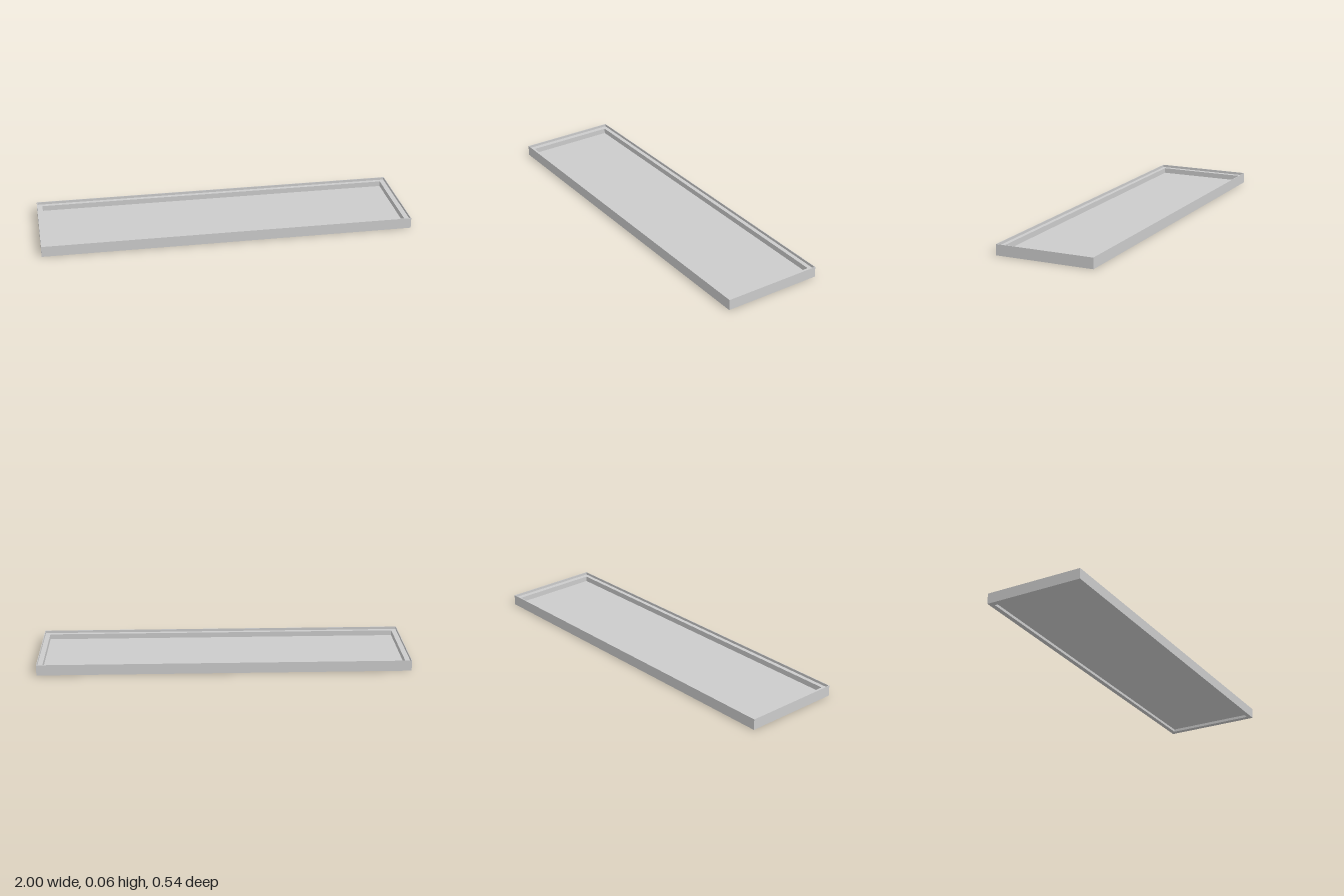
import * as THREE from 'three';

const W = 2, D = 0.54, H = 0.058;      // outer size
const INSET_X = 0.03, INSET_Z = 0.025; // width of the ledge
const LEDGE = 0.044, FLOOR = 0.015;    // heights of ledge and floor

export function createModel() {
  const group = new THREE.Group();
  const material = new THREE.MeshStandardMaterial({
    color: 0xcccccc, flatShading: true, side: THREE.DoubleSide,
  });
  const add = (name, geometry, x, y, z) => {
    const mesh = new THREE.Mesh(geometry, material);
    mesh.name = name;
    mesh.position.set(x, y, z);
    group.add(mesh);
  };
  const innerW = W - 2 * INSET_X, innerD = D - 2 * INSET_Z;

  // Ledge ring with a rectangular opening, from the ground up to the ledge
  const ring = new THREE.Shape([
    [-W / 2, -D / 2], [W / 2, -D / 2], [W / 2, D / 2], [-W / 2, D / 2],
  ].map(([x, y]) => new THREE.Vector2(x, y)));
  ring.holes.push(new THREE.Path([
    [-innerW / 2, -innerD / 2], [-innerW / 2, innerD / 2],
    [innerW / 2, innerD / 2], [innerW / 2, -innerD / 2],
  ].map(([x, y]) => new THREE.Vector2(x, y))));
  const ringGeometry = new THREE.ExtrudeGeometry(ring, { depth: LEDGE, bevelEnabled: false });
  ringGeometry.rotateX(-Math.PI / 2);
  add('ledgeFrame', ringGeometry, 0, 0, 0);

  // Thin rim walls standing on the outer edge of the ledge
  const rimH = H - LEDGE, rimY = LEDGE + rimH / 2, t = 0.003;
  for (const s of [1, -1]) {
    add(s > 0 ? 'frontRim' : 'backRim',
      new THREE.BoxGeometry(W, rimH, t), 0, rimY, s * (D - t) / 2);
    add(s > 0 ? 'leftRim' : 'rightRim',
      new THREE.BoxGeometry(t, rimH, D - 2 * t), s * (W - t) / 2, rimY, 0);
  }

  // Thin floor panel, raised above the ground so the underside is recessed
  const floor = new THREE.PlaneGeometry(innerW, innerD);
  floor.rotateX(-Math.PI / 2);
  add('floorPanel', floor, 0, FLOOR, 0);

  return group;
}
